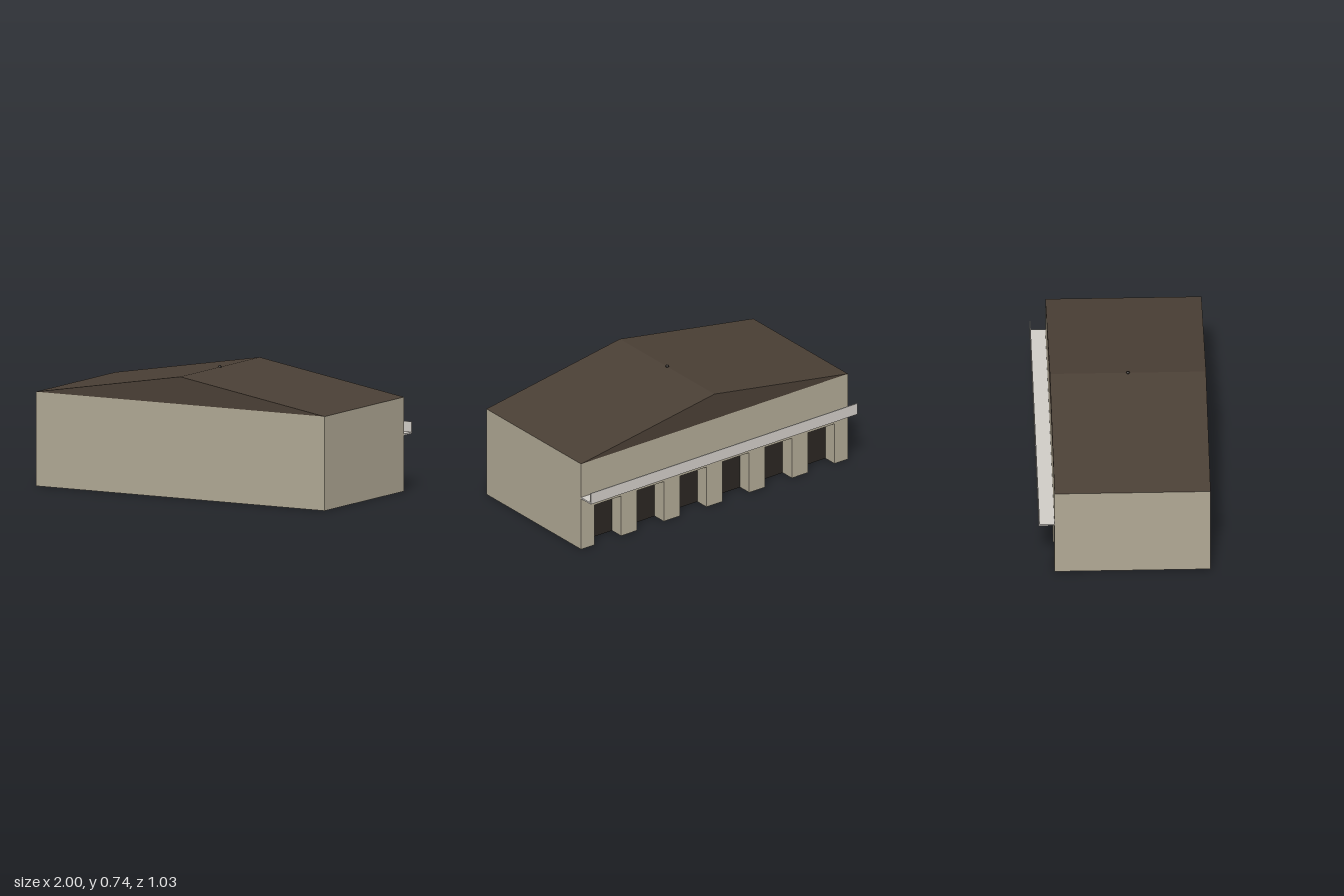
import * as THREE from 'three';

const mat = (color) => new THREE.MeshStandardMaterial({ color, flatShading: true });

export function createModel() {
  const group = new THREE.Group();
  const wall = mat(0xb0a894), roof = mat(0x4a3f35), metal = mat(0xd0ccc6);
  const dark = mat(0x2a2622);

  const front = 0.513, back = -0.418, eave = 0.568, ridge = 0.733;
  const doorWidth = 0.2, doorHeight = 0.265, spacing = 0.32;
  const facadeDepth = 0.1, panelDepth = 0.01;

  const add = (name, geometry, material, x = 0, y = 0, z = 0) => {
    const mesh = new THREE.Mesh(geometry, material);
    mesh.name = name;
    mesh.position.set(x, y, z);
    group.add(mesh);
  };
  // Box given by its minimum and maximum corners
  const box = (name, material, x0, x1, y0, y1, z0, z1) =>
    add(name, new THREE.BoxGeometry(x1 - x0, y1 - y0, z1 - z0), material,
      (x0 + x1) / 2, (y0 + y1) / 2, (z0 + z1) / 2);
  const extrude = (shape, depth) =>
    new THREE.ExtrudeGeometry(shape, { depth, bevelEnabled: false });

  // Main hall
  box('hall', wall, -1, 1, 0, eave, back + facadeDepth, front);

  // Rear facade with a row of doorways cut up from the ground
  const doors = Array.from({ length: 6 }, (_, i) => (i - 2.5) * spacing);
  const facade = new THREE.Shape().moveTo(-1, 0);
  for (const x of doors) {
    const a = x - doorWidth / 2, b = x + doorWidth / 2;
    facade.lineTo(a, 0).lineTo(a, doorHeight).lineTo(b, doorHeight).lineTo(b, 0);
  }
  facade.lineTo(1, 0).lineTo(1, eave).lineTo(-1, eave).closePath();
  add('rearFacade', extrude(facade, facadeDepth), wall, 0, 0, back);

  // Dark door panels at the back of the recesses
  const panelBack = back + facadeDepth;
  for (const x of doors) {
    box('doorPanel', dark, x - doorWidth / 2, x + doorWidth / 2, 0, doorHeight,
      panelBack - panelDepth, panelBack);
  }

  // Low gabled roof
  const gable = new THREE.Shape().moveTo(-1, eave).lineTo(1, eave).lineTo(0, ridge).closePath();
  add('roof', extrude(gable, front - back), roof, 0, 0, back);

  // Canopy along the rear with an upstanding lip
  box('canopy', metal, -1, 1, 0.336, 0.346, -front, back);
  box('canopyLip', metal, -1, 1, 0.346, 0.408, -front, -front + 0.006);

  // Small knob on the ridge
  add('ridgeKnob', new THREE.SphereGeometry(0.011, 8, 6), dark, 0, ridge, (front + back) / 2);

  return group;
}
